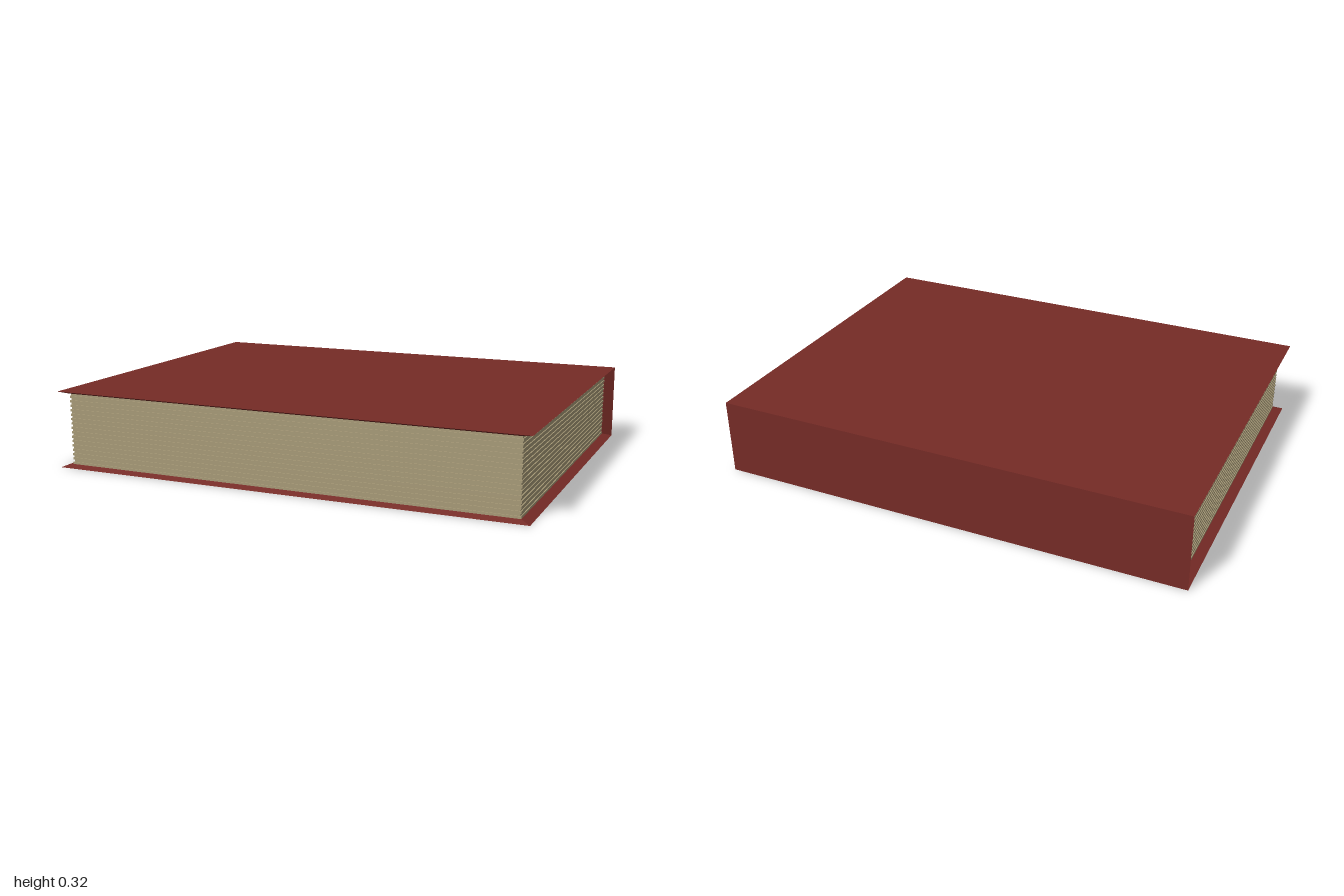
import * as THREE from 'three';

const W = 2, H = 0.322, D = 1.5;         // overall size
const MX = 0.04, MZ = 0.03, T = 0.011;   // page margins and board thickness
const SHEETS = 32;

// Board lying in xz: full size at y = 0, inner face shrunk at y = t
function taperedBoard(w, d, t, insetX, insetZ) {
  const geo = new THREE.BoxGeometry(w, t, d).toNonIndexed();
  geo.translate(0, t / 2, 0);
  const p = geo.attributes.position;
  for (let i = 0; i < p.count; i++) {
    if (p.getY(i) < t / 2) continue;
    p.setX(i, p.getX(i) - Math.sign(p.getX(i)) * insetX);
    p.setZ(i, p.getZ(i) - Math.sign(p.getZ(i)) * insetZ);
  }
  geo.computeVertexNormals();
  return geo;
}

export function createModel() {
  const book = new THREE.Group();
  book.name = 'book';
  const leather = new THREE.MeshStandardMaterial({ color: 0x762b26 });
  const paper = new THREE.MeshStandardMaterial({ color: 0xa89b78 });

  const add = (parent, name, geo, mat) => {
    const mesh = new THREE.Mesh(geo, mat);
    mesh.name = name;
    parent.add(mesh);
    return mesh;
  };

  // Front and back covers, thinning to a sharp rim
  const coverGeo = taperedBoard(W, D, T, MX, MZ);
  add(book, 'bottomCover', coverGeo, leather);
  const top = add(book, 'topCover', coverGeo, leather);
  top.rotation.z = Math.PI;
  top.position.y = H;

  // Spine along the back, mitred into both covers
  const spine = add(book, 'spine', taperedBoard(W, H, MZ, MX, T), leather);
  spine.rotation.x = Math.PI / 2;
  spine.position.set(0, H / 2, -D / 2);

  // Page block: stacked sheets, every other one set back slightly
  const pages = new THREE.Group();
  pages.name = 'pages';
  book.add(pages);
  const step = (H - 2 * T) / SHEETS;
  for (let i = 0; i < SHEETS; i++) {
    const inset = i % 2 ? 0.004 : 0;
    const geo = new THREE.BoxGeometry(W - 2 * (MX + inset), step, D - 2 * MZ - inset);
    const sheet = add(pages, 'sheet', geo, paper);
    sheet.position.set(0, T + step * (i + 0.5), -inset / 2);
  }
  return book;
}
